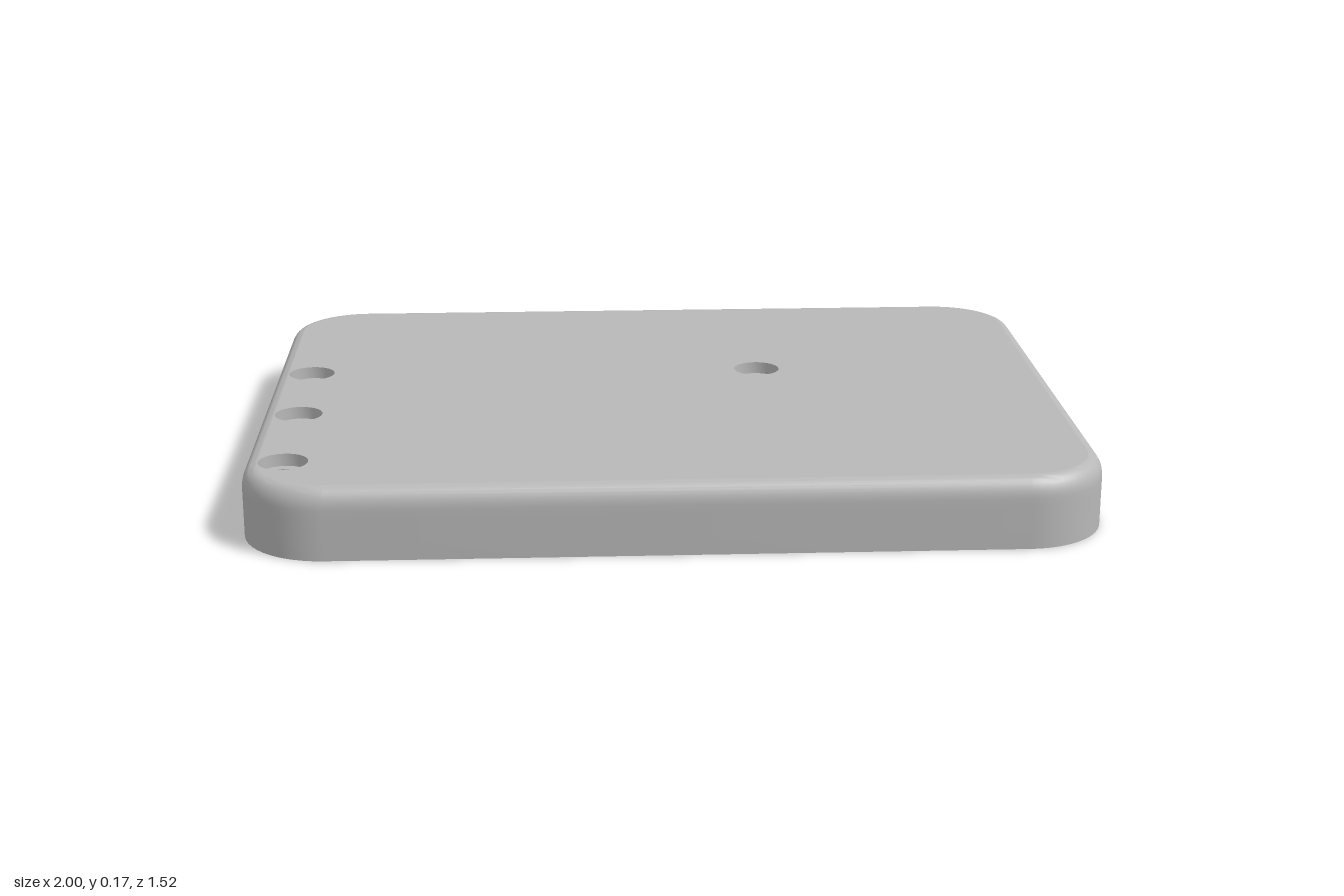
import * as THREE from 'three';
import { toCreasedNormals } from 'three/addons/utils/BufferGeometryUtils.js';

const HALF_X = 1, HALF_Z = 0.76, CORNER = 0.2, TOP = 0.17, CEILING = 0.125, WALL = 0.05;
const FILLET_IN = 0.035, FILLET_DOWN = 0.05;
const SLOT = { y0: 0.045, y1: 0.1, z0: -0.4, z1: -0.02 };
const SCREWS = [[-0.905, -0.145], [-0.905, 0.2], [-0.905, 0.56], [0.25, -0.135]];
const PINS = [[0.39, -0.3], [0.71, -0.51], [0.88, 0.02]];

// Rounded rectangle as [x, z] points; the last two points mark the ends of the slot
function outline(inset) {
  const pts = [], r = CORNER - inset, steps = 12;
  [[1, 1], [-1, 1], [-1, -1], [1, -1]].forEach(([sx, sz], k) => {
    for (let i = 0; i <= steps; i++) {
      const a = (k + i / steps) * Math.PI / 2;
      pts.push([sx * (HALF_X - CORNER) + r * Math.cos(a), sz * (HALF_Z - CORNER) + r * Math.sin(a)]);
    }
  });
  pts.push([HALF_X - inset, SLOT.z0], [HALF_X - inset, SLOT.z1]);
  return pts;
}

// Skin closed rings of [x, y, z] points, leaving out the quads that skip() picks
function loft(rings, skip = () => false) {
  const n = rings[0].length, index = [];
  for (let i = 0; i < rings.length - 1; i++) {
    for (let j = 0; j < n; j++) {
      if (skip(i, j, n)) continue;
      const a = i * n + j, b = i * n + (j + 1) % n, c = b + n, d = a + n;
      index.push(a, d, c, a, c, b);
    }
  }
  const geo = new THREE.BufferGeometry();
  geo.setAttribute('position', new THREE.Float32BufferAttribute(rings.flat(2), 3));
  geo.setIndex(index);
  return toCreasedNormals(geo, 0.6);
}

// Flat rounded plate with screw holes, facing up (1) or down (-1)
function plate(inset, y, facing, holeRadius) {
  const shape = new THREE.Shape(outline(inset).map(([x, z]) => new THREE.Vector2(x, -facing * z)));
  for (const [x, z] of SCREWS) {
    shape.holes.push(new THREE.Path().absarc(x, -facing * z, holeRadius, 0, Math.PI * 2, true));
  }
  return new THREE.ShapeGeometry(shape, 16).rotateX(-facing * Math.PI / 2).translate(0, y, 0);
}

export function createModel() {
  const group = new THREE.Group();
  const grey = new THREE.MeshStandardMaterial({ color: 0xb8b8b8, side: THREE.DoubleSide });
  grey.name = 'grey plastic';
  const add = (name, geo, x = 0, y = 0, z = 0) => {
    const mesh = new THREE.Mesh(geo, grey);
    mesh.name = name;
    mesh.position.set(x, y, z);
    group.add(mesh);
  };

  // Wall section [inset, y]: down the inside, round the stepped rim, up the outside, over the fillet
  const section = [
    [WALL, CEILING], [WALL, SLOT.y1], [WALL, SLOT.y0], [WALL, 0.03], [0.025, 0.03], [0.025, 0],
    [0, 0], [0, SLOT.y0], [0, SLOT.y1],
  ];
  for (let i = 0; i <= 8; i++) {
    const a = i / 8 * Math.PI / 2;
    section.push([FILLET_IN * (1 - Math.cos(a)), TOP - FILLET_DOWN * (1 - Math.sin(a))]);
  }
  const rings = section.map(([inset, y]) => outline(inset).map(([x, z]) => [x, y, z]));
  add('wall', loft(rings, (i, j, n) => (i === 1 || i === 7) && j === n - 2));
  add('topPlate', plate(FILLET_IN, TOP, 1, 0.058));
  add('ceiling', plate(WALL, CEILING, -1, 0.035));

  // Sides of the connector slot
  add('slotLining', loft([HALF_X, HALF_X - WALL].map((x) => [
    [x, SLOT.y0, SLOT.z1], [x, SLOT.y1, SLOT.z1], [x, SLOT.y1, SLOT.z0], [x, SLOT.y0, SLOT.z0],
  ])));

  // Screw bosses: recessed head seat, through bore and outer sleeve
  const profile = [[0.058, TOP], [0.058, 0.14], [0.035, 0.14], [0.035, 0.04], [0.06, 0.04], [0.06, CEILING]]
    .map(([r, y]) => new THREE.Vector2(r, y));
  const boss = toCreasedNormals(new THREE.LatheGeometry(profile, 32), 0.6);
  SCREWS.forEach(([x, z]) => add('screwBoss', boss, x, 0, z));

  // Locating pins under the ceiling
  const pin = new THREE.CylinderGeometry(0.028, 0.028, 0.07, 24);
  PINS.forEach(([x, z]) => add('locatingPin', pin, x, CEILING - 0.035, z));

  return group;
}
